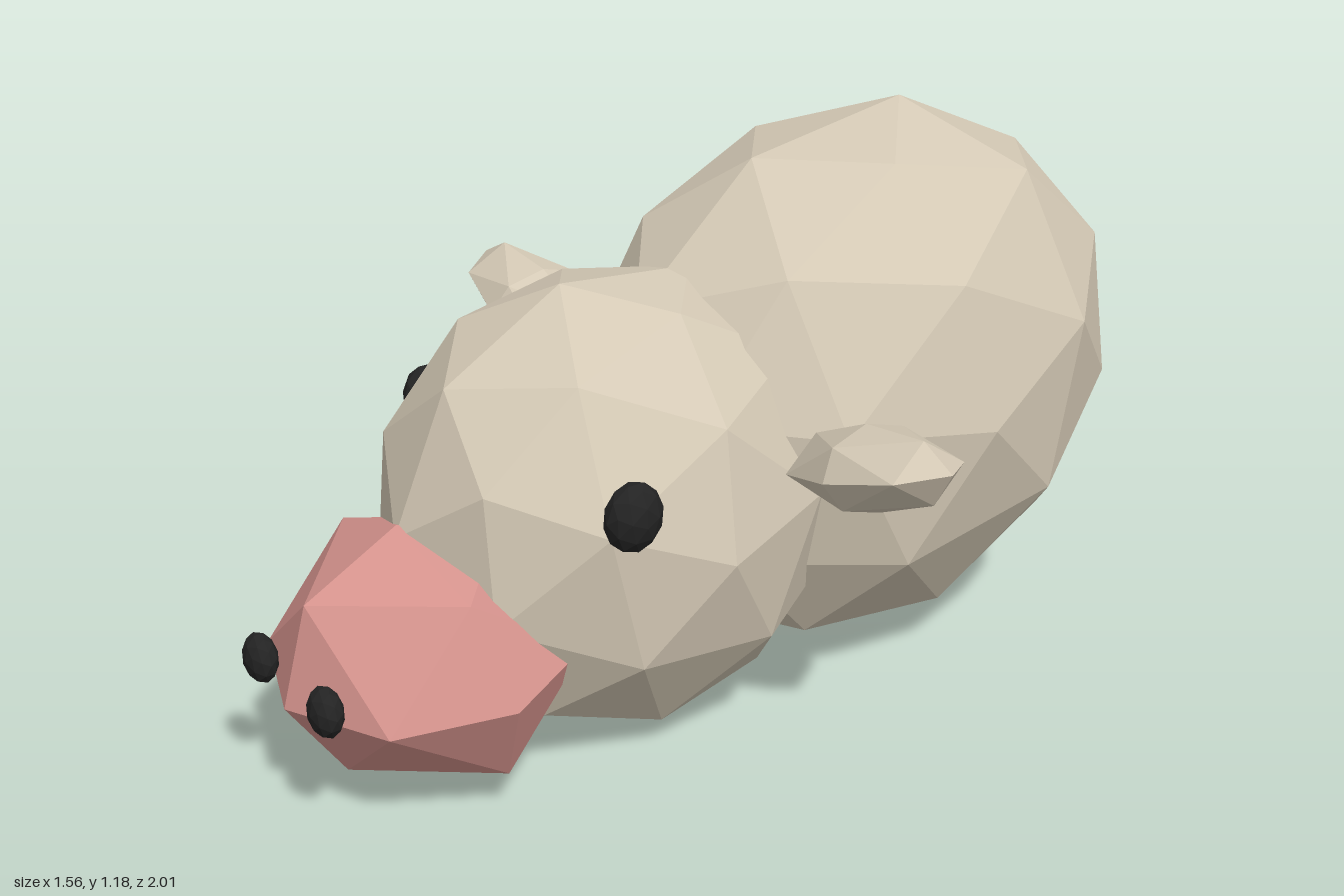
import * as THREE from 'three';

const rad = THREE.MathUtils.degToRad;

const material = (name, color) => {
  const m = new THREE.MeshStandardMaterial({ color });
  m.name = name;
  return m;
};

// Faceted ball with a five-sided pole on x, turned about x by the given angle
function icoBall(detail, turn) {
  return new THREE.IcosahedronGeometry(1, detail)
    .rotateY(-Math.atan(2 / (1 + Math.sqrt(5))))
    .rotateX(-rad(turn));
}

// Faceted ball with eight sides around each axis
function octaBall(turn) {
  return new THREE.OctahedronGeometry(1, 1).rotateX(-rad(turn));
}

export function createModel() {
  const cream = material('cream', 0xd5cab6);
  const pink = material('pink', 0xd8958f);
  const black = material('black', 0x242424);
  const model = new THREE.Group();
  model.name = 'animal';

  // Sizes, leans and places a ball, then gives it one normal per face
  const add = (name, geo, mat, size, pos, tilt = 0) => {
    geo.scale(...size).rotateZ(tilt).translate(...pos);
    geo.computeVertexNormals();
    const mesh = new THREE.Mesh(geo, mat);
    mesh.name = name;
    model.add(mesh);
  };

  // Body, leaning slightly backwards towards the top
  const lean = new THREE.Matrix4().set(
    1, 0, 0, 0,
    0, 1, 0, 0,
    0, -0.075, 1, 0,
    0, 0, 0, 1);
  add('body', icoBall(1, 7).applyMatrix4(lean), cream, [0.465, 0.575, 0.63], [0, 0.608, -0.38]);

  // Head and snout
  add('head', icoBall(1, 23), cream, [0.415, 0.483, 0.5], [0, 0.473, 0.235]);
  add('snout', octaBall(-9), pink, [0.34, 0.27, 0.31], [0, 0.275, 0.68]);

  // Paired parts
  for (const side of [1, -1]) {
    const label = side > 0 ? 'left' : 'right';
    add(label + 'Ear', octaBall(0), cream, [0.222, 0.085, 0.122],
      [side * 0.567, 0.676, 0.035], side * rad(16));
    add(label + 'Eye', icoBall(1, 18), black, [0.047, 0.073, 0.06],
      [side * 0.363, 0.612, 0.435], side * rad(-8));
    add(label + 'Nostril', icoBall(1, 18), black, [0.046, 0.052, 0.032],
      [side * 0.13, 0.28, 0.966]);
  }

  return model;
}
